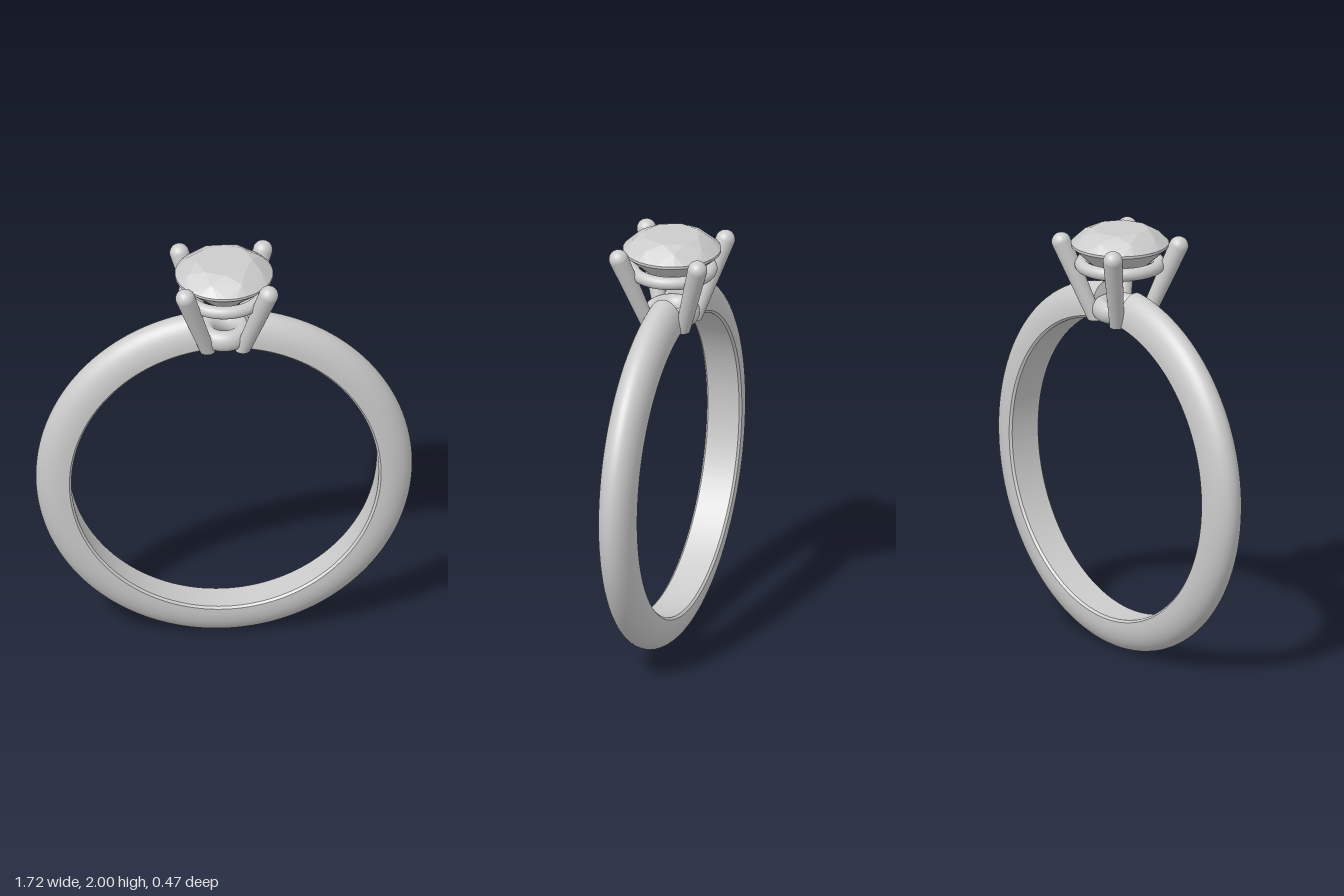
import * as THREE from 'three';
import { toCreasedNormals } from 'three/addons/utils/BufferGeometryUtils.js';
import { ConvexGeometry } from 'three/addons/geometries/ConvexGeometry.js';

const metal = new THREE.MeshStandardMaterial({ color: 0xcccccc });
const openMetal = new THREE.MeshStandardMaterial({ color: 0xcccccc, side: THREE.DoubleSide });
const facets = new THREE.MeshStandardMaterial({ color: 0xcccccc, flatShading: true });

function mesh(name, geometry, material = metal) {
  const m = new THREE.Mesh(geometry, material);
  m.name = name;
  return m;
}

// D-shaped section swept round the finger, open under the setting
function createBand() {
  const band = new THREE.Group();
  band.name = 'band';
  const inner = 0.704, outer = 0.862, half = 0.085, dome = 0.13, bevel = 0.01;
  const profile = [new THREE.Vector2(inner, -half + bevel)];
  for (let i = 0; i <= 24; i++) {
    const a = -Math.PI / 2 + (i / 24) * Math.PI;
    profile.push(new THREE.Vector2(outer - dome + dome * Math.cos(a), half * Math.sin(a)));
  }
  profile.splice(1, 0, new THREE.Vector2(inner + bevel, -half));
  profile.push(new THREE.Vector2(inner + bevel, half), new THREE.Vector2(inner, half - bevel));

  const gap = 0.128;
  const start = Math.PI + gap, length = 2 * Math.PI - 2 * gap;
  const closed = [...profile, profile[0].clone()];
  const hoop = toCreasedNormals(new THREE.LatheGeometry(closed, 160, start, length), 0.5);
  band.add(mesh('bandHoop', hoop));
  for (const phi of [start, start + length]) {
    const cap = new THREE.ShapeGeometry(new THREE.Shape(profile));
    cap.rotateY(phi - Math.PI / 2);
    band.add(mesh('bandEnd', cap, openMetal));
  }
  band.rotation.x = Math.PI / 2;
  band.position.y = outer;
  return band;
}

// Leaning, tapered claw with a round tip and a level foot
function createProng(sx, sz) {
  const foot = new THREE.Vector3(0.08 * sx, 1.56, 0.08 * sz);
  const tip = new THREE.Vector3(0.191 * sx, 1.925, 0.191 * sz);
  const axis = tip.clone().sub(foot);
  const length = axis.length();
  axis.normalize();
  const profile = [new THREE.Vector2(0.033, 0)];
  for (let i = 0; i <= 10; i++) {
    const a = (i / 10) * Math.PI / 2;
    profile.push(new THREE.Vector2(i === 10 ? 0 : 0.045 * Math.cos(a), length + 0.045 * Math.sin(a)));
  }
  const g = new THREE.LatheGeometry(profile, 28);
  g.applyQuaternion(new THREE.Quaternion().setFromUnitVectors(new THREE.Vector3(0, 1, 0), axis));
  g.translate(foot.x, foot.y, foot.z);
  // Slide the foot ring along the claw until it lies level
  const p = g.attributes.position, v = new THREE.Vector3();
  for (let i = 0; i < p.count; i++) {
    v.fromBufferAttribute(p, i);
    if (v.y < 1.6) {
      v.addScaledVector(axis, (foot.y - v.y) / axis.y);
      p.setXYZ(i, v.x, v.y, v.z);
    }
  }
  const prong = new THREE.Group();
  prong.name = 'prong';
  const sole = new THREE.CircleGeometry(0.033, 28).rotateX(Math.PI / 2);
  sole.translate(foot.x, foot.y, foot.z);
  prong.add(mesh('prongShaft', g), mesh('prongFoot', sole));
  return prong;
}

// Horizontal ring of oval section
function createCollar(name, y, radius, rx, ry) {
  const g = new THREE.TorusGeometry(radius, rx, 24, 72).rotateX(Math.PI / 2);
  g.scale(1, ry / rx, 1);
  g.translate(0, y, 0);
  return mesh(name, g);
}

// Round brilliant cut: table, crown, girdle, pavilion and point
function createStone() {
  const points = [new THREE.Vector3(0, 1.73, 0)];
  const ring = (count, radius, y, turn = 0) => {
    for (let i = 0; i < count; i++) {
      const a = ((i + turn) / count) * Math.PI * 2;
      points.push(new THREE.Vector3(radius * Math.cos(a), y, radius * Math.sin(a)));
    }
  };
  ring(8, 0.13, 2.0);
  ring(8, 0.182, 1.974, 0.5);
  ring(32, 0.225, 1.932);
  ring(32, 0.225, 1.92);
  ring(8, 0.1, 1.807, 0.5);
  return mesh('stone', new ConvexGeometry(points), facets);
}

export function createModel() {
  const model = new THREE.Group();
  model.name = 'ring';
  model.add(createBand());

  const setting = new THREE.Group();
  setting.name = 'setting';
  for (const sx of [-1, 1]) for (const sz of [-1, 1]) setting.add(createProng(sx, sz));
  setting.add(createCollar('upperCollar', 1.83, 0.178, 0.03, 0.03));
  setting.add(createCollar('lowerCollar', 1.614, 0.085, 0.043, 0.05));
  model.add(setting, createStone());
  return model;
}
